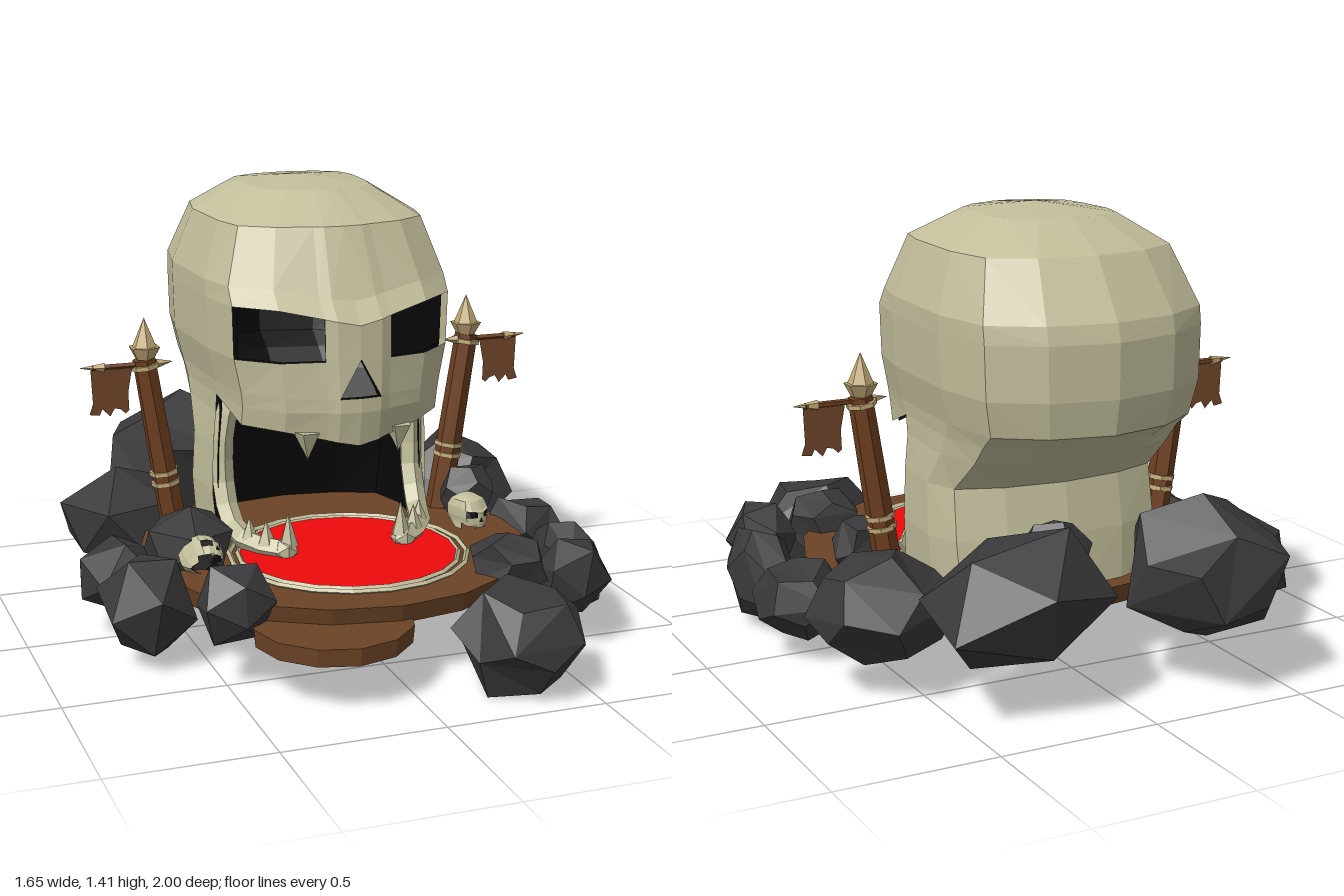
import * as THREE from 'three';

const mat = (color, side = THREE.FrontSide) =>
  new THREE.MeshStandardMaterial({ color, side, flatShading: true });
const bone = mat(0xc2be9b, THREE.DoubleSide), dark = mat(0x070707, THREE.DoubleSide), stone = mat(0x3a3a3c);
const earth = mat(0x6b4426), wood = mat(0x6e3f1f), cloth = mat(0x70462a, THREE.DoubleSide);
const red = mat(0xee0a0c), horn = mat(0xc4ac78);

function add(parent, name, geo, material, x = 0, y = 0, z = 0) {
  const m = new THREE.Mesh(geo, material);
  m.name = name;
  m.position.set(x, y, z);
  parent.add(m);
  return m;
}

// tapered rod between two points
function rod(parent, name, material, a, b, rA, rB, sides) {
  const p = new THREE.Vector3(...a), q = new THREE.Vector3(...b), d = q.clone().sub(p);
  const m = add(parent, name, new THREE.CylinderGeometry(rB, rA, d.length(), sides), material);
  m.position.copy(p).lerp(q, 0.5);
  m.quaternion.setFromUnitVectors(new THREE.Vector3(0, 1, 0), d.normalize());
}

// Skull rings, top to bottom: height, half width, front z, cheek z, back z, dip at the middle
const rings = [
  [1.41, 0, -0.25, -0.25, -0.25, 0],
  [1.385, 0.2, -0.03, -0.2, -0.48, 0],
  [1.295, 0.34, 0.13, -0.1, -0.63, 0],
  [1.12, 0.4, 0.23, -0.07, -0.75, 0.04],
  [1.065, 0.4, 0.29, -0.05, -0.765, 0.05],
  [0.9, 0.395, 0.295, -0.06, -0.765, -0.01],
  [0.79, 0.37, 0.3, -0.06, -0.745, 0],
  [0.745, 0.365, 0.3, -0.07, -0.67, 0],
  [0.685, 0.365, 0.28, -0.08, -0.6, 0.05],
  [0.58, 0.375, 0.2, -0.08, -0.45, 0],
  [0.42, 0.38, 0.2, -0.08, -0.48, 0],
  [0.22, 0.365, 0.2, -0.06, -0.5, 0],
];
const wide = [0, 0.18, 0.27, 0.6, 0.89, 0.97, 1, 0.9, 0.52, 0];
const deep = [0, 0.02, 0.07, 0.2, 0.5, 1, 1.5, 1.8, 1.94, 2];

// Shell of half rings, mirrored, with eyes, nose and mouth left open; inset > 0 gives the inner wall
function skullShell(last, inset) {
  const pos = [];
  const point = (r, j, s) => {
    const [y, w, zf, zc, zb, dip] = rings[r], t = deep[j], k = r > 0 ? inset : 0;
    const x = Math.max(0, w - k) * wide[j];
    const z = t < 1 ? zf - k + (zc - zf + k) * t : zc + (zb + k - zc) * (t - 1);
    const drop = t <= 1 ? dip * Math.max(0, 1 - x / 0.25) : 0;
    return [s * x, y - drop - (r < 3 ? inset : 0), z];
  };
  for (const s of [1, -1]) {
    const out = (s > 0) === (inset === 0);
    const tri = (a, b, c) => pos.push(...a, ...(out ? b : c), ...(out ? c : b));
    for (let r = 0; r < last; r++) for (let j = 0; j < 9; j++) {
      const eye = r === 4 && (j === 2 || j === 3);
      const mouth = r >= 8 && j < 5;
      if (eye || mouth) continue;
      const a = point(r, j, s), b = point(r, j + 1, s);
      const c = point(r + 1, j, s), d = point(r + 1, j + 1, s);
      const nose = r === 5 && j === 0, cheek = r === 7 && j === 4;
      if (cheek) tri(a, c, b);
      else {
        if (!nose) tri(a, c, d);
        if (r > 0) tri(a, d, b);
      }
    }
  }
  const g = new THREE.BufferGeometry();
  g.setAttribute('position', new THREE.Float32BufferAttribute(pos, 3));
  g.computeVertexNormals();
  return g;
}

function skull(name, last) {
  const g = new THREE.Group();
  g.name = name;
  add(g, 'skullShell', skullShell(last, 0), bone);
  add(g, 'skullLining', skullShell(last, 0.02), dark);
  for (const s of [1, -1]) {
    add(g, 'upperTooth', new THREE.ConeGeometry(0.045, 0.09, 5), bone, s * 0.15, 0.635, 0.225).rotation.x = Math.PI;
  }
  return g;
}

// Boulder fitted to a box of the given half sizes
function boulder(parent, [x, y, z, rx, ry, rz], i) {
  const g = i % 2 ? new THREE.DodecahedronGeometry(1, 0) : new THREE.IcosahedronGeometry(1, 0);
  const p = g.attributes.position, v = new THREE.Vector3();
  for (let k = 0; k < p.count; k++) {
    v.fromBufferAttribute(p, k);
    v.multiplyScalar(1 + 0.1 * Math.sin(7 * v.x + 11 * v.y + 5 * v.z + i * 2.3));
    p.setXYZ(k, v.x, v.y, v.z);
  }
  g.rotateX(i * 1.3).rotateY(i * 2.1);
  g.center();
  g.computeBoundingBox();
  g.boundingBox.getSize(v);
  g.scale(2 * rx / v.x, 2 * ry / v.y, 2 * rz / v.z);
  g.computeVertexNormals();
  add(parent, 'boulder', g, stone, x, y, z);
}

function bannerPole(s) {
  const g = new THREE.Group();
  g.name = s > 0 ? 'leftBannerPole' : 'rightBannerPole';
  const at = (y) => [s * (0.465 + (y - 0.25) * 0.155), y, -0.19];
  rod(g, 'pole', wood, at(0.22), at(0.85), 0.045, 0.038, 6);
  for (const y of [0.43, 0.465, 0.82]) rod(g, 'binding', horn, at(y), at(y + 0.014), 0.048, 0.048, 7);
  const x = s * 0.555;
  add(g, 'finialCollar', new THREE.CylinderGeometry(0.052, 0.03, 0.04, 6), horn, x, 0.87, -0.19);
  add(g, 'finialTip', new THREE.ConeGeometry(0.04, 0.095, 6), horn, x, 0.937, -0.19);
  rod(g, 'crossbar', wood, [s * 0.5, 0.835, -0.18], [s * 0.73, 0.835, -0.18], 0.01, 0.01, 5);
  rod(g, 'innerSpike', horn, [s * 0.52, 0.835, -0.18], [s * 0.465, 0.838, -0.18], 0.016, 0, 5);
  rod(g, 'outerSpike', horn, [s * 0.69, 0.835, -0.18], [s * 0.77, 0.838, -0.18], 0.016, 0, 5);
  const rag = [[0.6, 0.83], [0.735, 0.83], [0.73, 0.72], [0.742, 0.685], [0.71, 0.68], [0.7, 0.7],
    [0.675, 0.675], [0.66, 0.7], [0.64, 0.695], [0.625, 0.68], [0.613, 0.69], [0.615, 0.75]];
  const shape = new THREE.Shape(rag.map(([u, v]) => new THREE.Vector2(s * u, v)));
  add(g, 'banner', new THREE.ShapeGeometry(shape), cloth, 0, 0, -0.175);
  return g;
}

// Side of the lower jaw: a post sweeping forward into a toothed end
function jawSide(s) {
  const g = new THREE.Group();
  g.name = s > 0 ? 'leftJaw' : 'rightJaw';
  const path = new THREE.CatmullRomCurve3([[0.29, 0.74, -0.12], [0.322, 0.62, -0.115], [0.326, 0.44, -0.11],
    [0.318, 0.32, -0.04], [0.29, 0.285, 0.06], [0.2, 0.275, 0.15]]
    .map(([x, y, z]) => new THREE.Vector3(s * x, y, z)));
  add(g, 'jawBone', new THREE.TubeGeometry(path, 9, 0.038, 5), bone);
  add(g, 'jawTop', new THREE.IcosahedronGeometry(0.04, 0), bone, s * 0.29, 0.74, -0.12);
  add(g, 'jawEnd', new THREE.IcosahedronGeometry(0.042, 0), bone, s * 0.2, 0.275, 0.15);
  for (const [x, z, h] of [[0.19, 0.15, 0.11], [0.25, 0.11, 0.08], [0.29, 0.06, 0.08]]) {
    add(g, 'lowerTooth', new THREE.ConeGeometry(0.032, h, 5), bone, s * x, 0.29 + h / 2, z);
  }
  return g;
}

export function createModel() {
  const model = new THREE.Group();
  model.name = 'skullCave';

  // Ground and front step
  add(model, 'ground', new THREE.CylinderGeometry(0.625, 0.61, 0.06, 18), earth, -0.01, 0.225, 0.06);
  add(model, 'frontStep', new THREE.CylinderGeometry(0.245, 0.24, 0.055, 12), earth, -0.2, 0.176, 0.595);

  // Pool with double rim
  add(model, 'pool', new THREE.CylinderGeometry(0.345, 0.345, 0.02, 20), red, 0, 0.253, 0.18);
  for (const r of [0.35, 0.378]) {
    add(model, 'poolRim', new THREE.TorusGeometry(r, 0.009, 4, 20), bone, 0, 0.26, 0.18).rotation.x = -Math.PI / 2;
  }

  // Main skull
  model.add(skull('giantSkull', rings.length - 1));
  for (const s of [1, -1]) model.add(jawSide(s), bannerPole(s));

  // Small skulls on the ground
  for (const [x, y, z, rx, ry] of [[0.47, 0.19, 0.1, 0, 0.3], [-0.47, 0.25, 0.31, -0.9, 0.6]]) {
    const small = skull('smallSkull', 9);
    small.scale.setScalar(0.13);
    small.position.set(x, y, z);
    small.rotation.set(rx, ry, 0);
    model.add(small);
  }

  // Boulders: centre and half sizes
  const boulders = [
    [-0.31, 0.36, -0.75, 0.25, 0.23, 0.25], [0.3, 0.34, -0.73, 0.27, 0.21, 0.235], [0.16, 0.44, -0.68, 0.11, 0.11, 0.1],
    [-0.58, 0.26, -0.43, 0.21, 0.17, 0.2], [0.59, 0.27, -0.42, 0.21, 0.17, 0.2],
    [-0.69, 0.2, -0.03, 0.13, 0.12, 0.15], [0.7, 0.19, -0.03, 0.13, 0.12, 0.16],
    [-0.49, 0.28, 0.05, 0.13, 0.14, 0.16], [0.51, 0.34, -0.05, 0.09, 0.09, 0.08],
    [-0.68, 0.19, 0.27, 0.14, 0.16, 0.14], [0.71, 0.17, 0.3, 0.11, 0.15, 0.17],
    [-0.47, 0.26, 0.5, 0.11, 0.12, 0.1], [0.42, 0.27, 0.48, 0.12, 0.1, 0.11],
    [0.62, 0.22, 0.52, 0.11, 0.12, 0.11], [0.32, 0.16, 0.8, 0.215, 0.16, 0.195],
  ];
  boulders.forEach((b, i) => boulder(model, b, i + 1));
  return model;
}
